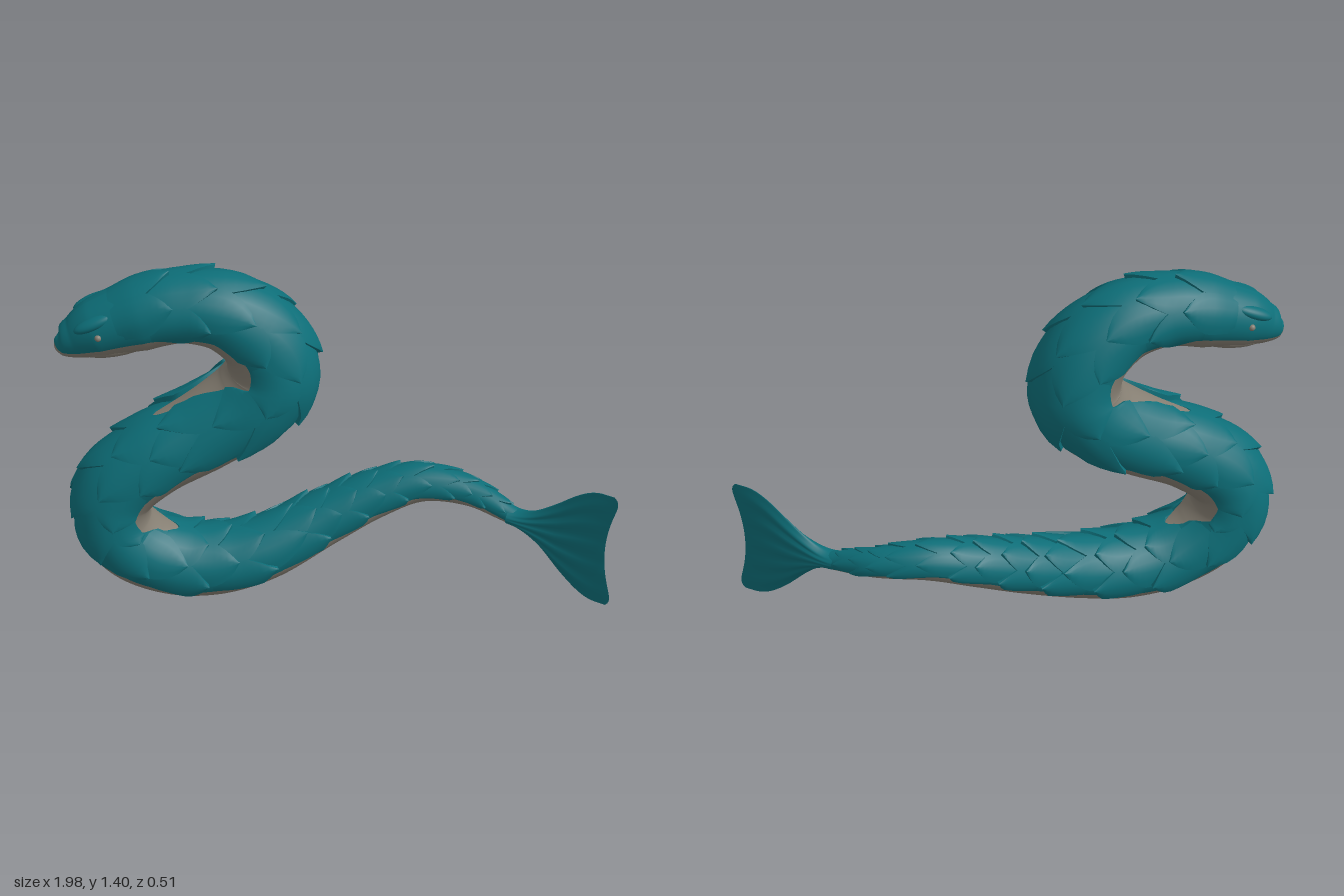
import * as THREE from 'three';
import { mergeGeometries } from 'three/addons/utils/BufferGeometryUtils.js';

// Spine stations from snout to tail: x, y, z, radius, right belly half-angle, left belly half-angle
const SPINE = [
  [-1.0, 1.16, -0.05, 0, 1.2, 0],
  [-0.98, 1.155, -0.05, 0.045, 1.25, 0],
  [-0.93, 1.167, -0.05, 0.074, 1.25, 0],
  [-0.85, 1.2, -0.05, 0.106, 1.25, 0],
  [-0.7, 1.245, -0.05, 0.127, 1.22, 0],
  [-0.55, 1.265, -0.05, 0.123, 0.95, 0],
  [-0.4, 1.23, -0.05, 0.135, 1.05, 0],
  [-0.28, 1.12, -0.055, 0.15, 1.1, 0],
  [-0.245, 0.98, -0.06, 0.162, 1.0, 0],
  [-0.31, 0.865, -0.06, 0.16, 0.5, 0.85],
  [-0.48, 0.75, -0.055, 0.152, 0.2, 1.15],
  [-0.68, 0.64, -0.05, 0.147, 0, 1.15],
  [-0.825, 0.5, -0.05, 0.143, 0, 1.05],
  [-0.84, 0.36, -0.05, 0.143, 0, 0.85],
  [-0.76, 0.24, -0.05, 0.143, 1.0, 0.35],
  [-0.61, 0.16, -0.05, 0.137, 1.12, 0],
  [-0.45, 0.14, -0.055, 0.13, 1.15, 0],
  [-0.28, 0.165, -0.07, 0.117, 1.18, 0],
  [-0.05, 0.25, -0.12, 0.101, 1.22, 0],
  [0.15, 0.325, -0.15, 0.087, 1.3, 0],
  [0.32, 0.365, -0.15, 0.071, 1.35, 0],
  [0.5, 0.345, -0.1, 0.053, 1.35, 0],
  [0.63, 0.305, -0.01, 0.036, 1.2, 0],
  [0.7, 0.285, 0.045, 0.03, 0, 0],
];
const LAST = SPINE.length - 1;
const path = new THREE.CatmullRomCurve3(SPINE.map(p => new THREE.Vector3(p[0], p[1], p[2])));
const Z = new THREE.Vector3(0, 0, 1);

// Blend the radius and belly angles between stations
function section(t) {
  const f = Math.min(Math.max(t, 0), 1) * LAST, i = Math.min(Math.floor(f), LAST - 1), k = f - i;
  const ease = k * k * (3 - 2 * k);
  const mix = (c, w) => SPINE[i][c] + (SPINE[i + 1][c] - SPINE[i][c]) * w;
  return { r: mix(3, i < 2 ? Math.sqrt(k) * 0.5 + k * 0.5 : k), wR: mix(4, ease), wL: mix(5, ease) };
}

// Point on the body skin; angle 0 is the left-hand side of travel in the bending plane
function skin(t, angle, lift = 0) {
  t = Math.min(Math.max(t, 0), 1);
  const T = path.getTangent(t);
  const L = new THREE.Vector3(-T.y, T.x, 0).normalize();
  const B = new THREE.Vector3().crossVectors(T, L);
  const r = section(t).r + lift;
  return path.getPoint(t).addScaledVector(L, r * Math.cos(angle)).addScaledVector(B, 1.06 * r * Math.sin(angle));
}

// Surface from rows of points; bands of columns can become material groups
function grid(rows, cols, point, { closed = false, bands = [[0, cols, 0]] } = {}) {
  const positions = [], index = [], g = new THREE.BufferGeometry();
  const n = closed ? cols : cols + 1;
  for (let i = 0; i <= rows; i++)
    for (let j = 0; j < n; j++) positions.push(...point(i, j).toArray());
  for (const [from, to, material] of bands) {
    const start = index.length;
    for (let i = 0; i < rows; i++)
      for (let j = from; j < to; j++) {
        const k = (j + 1) % n, a = i * n + j, b = i * n + k, c = a + n, d = b + n;
        index.push(a, b, c, b, d, c);
      }
    g.addGroup(start, index.length - start, material);
  }
  g.setAttribute('position', new THREE.Float32BufferAttribute(positions, 3));
  g.setIndex(index);
  g.computeVertexNormals();
  return g;
}

// Smooth body: two belly bands and the two teal sides between them
function bodyGeometry() {
  const N = 10, rows = 260;
  return grid(rows, 4 * N, (i, j) => {
    const t = i / rows, { wL, wR } = section(t);
    const edges = [-wL, wL, Math.PI - wR, Math.PI + wR, 2 * Math.PI - wL];
    const s = Math.floor(j / N), k = (j % N) / N;
    return skin(t, edges[s] + (edges[s + 1] - edges[s]) * k);
  }, { closed: true, bands: [[0, N, 1], [N, 2 * N, 0], [2 * N, 3 * N, 1], [3 * N, 4 * N, 0]] });
}

const wrap = a => Math.atan2(Math.sin(a), Math.cos(a));

// One pointed shield, lifted at its tip, with side walls down to the skin
function scaleGeometry(t0, dt, centre, halfAngle) {
  const across = [-1, -1, -0.6, -0.2, 0.2, 0.6, 1, 1], rows = 9;
  const raise = Math.min(1, section(t0).r / 0.14);
  const side = Math.sign(wrap(centre)) || 1;
  const at = (u, v, wall) => {
    const t = t0 + u * dt, { wL, wR } = section(t);
    const taper = u < 0.5 ? 1 : 1 - Math.pow((u - 0.5) / 0.5, 1.6);
    let a = wrap(centre + v * halfAngle * taper);
    if (wL > 0 && Math.abs(a) < wL) a = side * wL;
    if (wR > 0 && Math.PI - Math.abs(a) < wR) a = side * (Math.PI - wR);
    const lift = wall ? -0.006 : raise * (-0.003 + 0.028 * u + 0.005 * (1 - v * v));
    return skin(t, a, lift);
  };
  const top = grid(rows, 5, (i, j) => at(i / rows, across[j + 1], false));
  const wallA = grid(rows, 1, (i, j) => at(i / rows, -1, j === 0));
  const wallB = grid(rows, 1, (i, j) => at(i / rows, 1, j === 1));
  return mergeGeometries([top, wallA, wallB]);
}

// Staggered rows of scales wherever the skin is not belly
function allScales() {
  const parts = [];
  let t = 4 / LAST - 0.02;
  for (let row = 0; t < 0.925; row++) {
    const speed = path.getTangent ? path.getPoint(t + 0.002).distanceTo(path.getPoint(t - 0.002)) / 0.004 : 1;
    const step = (0.055 + 0.45 * section(t).r) / speed;
    const dt = Math.min(step * 1.9, 0.985 - t);
    for (let k = 0; k < 6; k++) {
      const a = wrap(((k + (row % 2) / 2) * Math.PI) / 3);
      const bare = [0.15, 0.85].some(u => {
        const { wL, wR } = section(t + u * dt);
        return Math.abs(a) < wL || Math.PI - Math.abs(a) < wR;
      });
      if (!bare) parts.push(scaleGeometry(t, dt, a, 0.6));
    }
    t += step;
  }
  return mergeGeometries(parts);
}

// Fan-shaped tail fin with shallow ribs, swept towards the front
function finGeometry() {
  const rows = 24, cols = 64, normal = new THREE.Vector3(-0.58, 0, 0.81);
  return grid(rows, cols, (i, j) => {
    const u = i / rows, a = (j / cols) * Math.PI * 2, v = Math.cos(a);
    const half = 0.03 + 0.222 * THREE.MathUtils.smoothstep(u * 1.15 - 0.03, 0, 1);
    const x = 0.64 + u * (0.36 - 0.045 * (1 - v * v) - 0.03 * Math.pow(v, 12));
    const ribs = 1 + 0.35 * u * Math.cos(v * 16);
    const thick = (0.034 * Math.pow(1 - u, 1.3) + 0.011 * Math.sqrt(1 - u)) * ribs;
    const y = 0.302 - 0.022 * Math.min(1, u * 2) + half * v;
    return new THREE.Vector3(x, y, (x - 0.64) * 0.72).addScaledVector(normal, thick * Math.sin(a));
  }, { closed: true });
}

export function createModel() {
  const teal = new THREE.MeshStandardMaterial({ color: 0x0d6e78, side: THREE.DoubleSide });
  teal.name = 'teal scales';
  const grey = new THREE.MeshStandardMaterial({ color: 0x857e72 });
  grey.name = 'grey belly';

  const model = new THREE.Group();
  model.name = 'seaSerpent';
  const add = (name, geometry, material) => {
    const mesh = new THREE.Mesh(geometry, material);
    mesh.name = name;
    model.add(mesh);
    return mesh;
  };

  add('body', bodyGeometry(), [teal, grey]);
  add('bodyScales', allScales(), teal);
  add('tailFin', finGeometry(), teal);

  // Jaw, brows and eyes
  const ball = new THREE.SphereGeometry(1, 24, 16);
  const jaw = add('jaw', ball, grey);
  jaw.position.set(-0.79, 1.155, -0.05);
  jaw.scale.set(0.16, 0.05, 0.095);
  jaw.rotation.z = 0.12;
  for (const side of [-1, 1]) {
    const name = side > 0 ? 'left' : 'right';
    const brow = add(name + 'Brow', ball, teal);
    brow.position.copy(skin(3.1 / LAST, side * 0.85, -0.012));
    brow.scale.set(0.075, 0.022, 0.03);
    brow.rotation.z = 0.4;
    const eye = add(name + 'Eye', ball, grey);
    eye.position.copy(skin(3.1 / LAST, side * 1.36, -0.002));
    eye.scale.setScalar(0.012);
  }
  return model;
}
